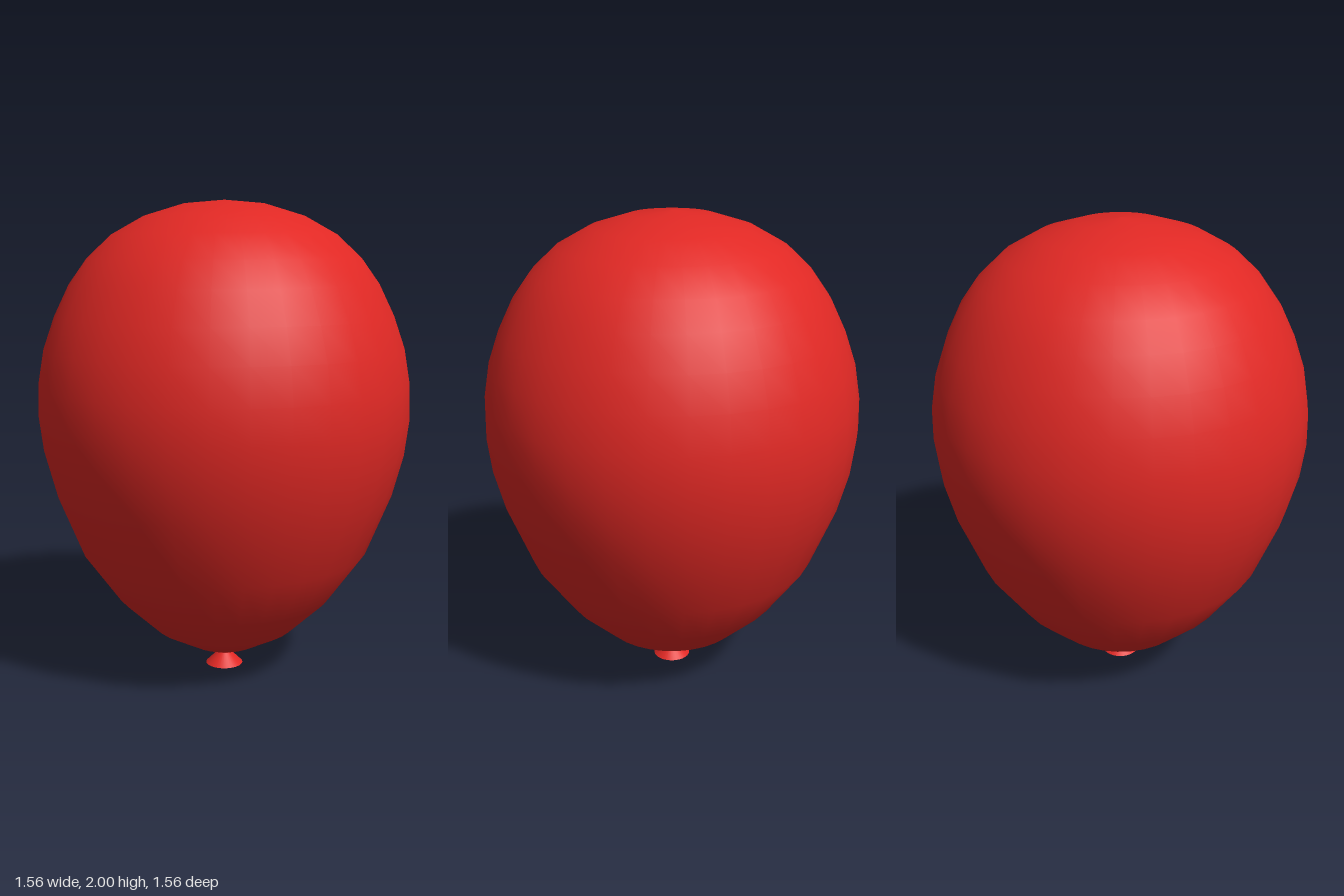
import * as THREE from 'three';

const SIDES = 32;

// Revolve a [radius, height] profile, listed from bottom to top
function revolve(name, profile, material) {
  const points = profile.map(([r, y]) => new THREE.Vector2(r, y));
  const mesh = new THREE.Mesh(new THREE.LatheGeometry(points, SIDES), material);
  mesh.name = name;
  return mesh;
}

export function createModel() {
  const model = new THREE.Group();
  model.name = 'balloon';
  const red = new THREE.MeshStandardMaterial({ color: 0xe02824 });

  // Inflated egg-shaped body
  model.add(revolve('body', [
    [0, 0.074], [0.147, 0.1], [0.305, 0.186], [0.462, 0.334], [0.61, 0.54],
    [0.715, 0.8], [0.76, 0.97], [0.778, 1.115], [0.775, 1.25], [0.75, 1.395],
    [0.703, 1.53], [0.64, 1.66], [0.565, 1.765], [0.464, 1.86], [0.33, 1.935],
    [0.17, 1.984], [0, 2],
  ], red));

  // Short tied neck, running up into the body
  const neck = new THREE.Mesh(new THREE.CylinderGeometry(0.03, 0.026, 0.05, SIDES), red);
  neck.name = 'neck';
  neck.position.y = 0.07;
  model.add(neck);

  // Flared lip below the knot
  const lip = new THREE.Mesh(new THREE.CylinderGeometry(0.03, 0.08, 0.05, SIDES), red);
  lip.name = 'lip';
  lip.position.y = 0.025;
  model.add(lip);

  return model;
}
